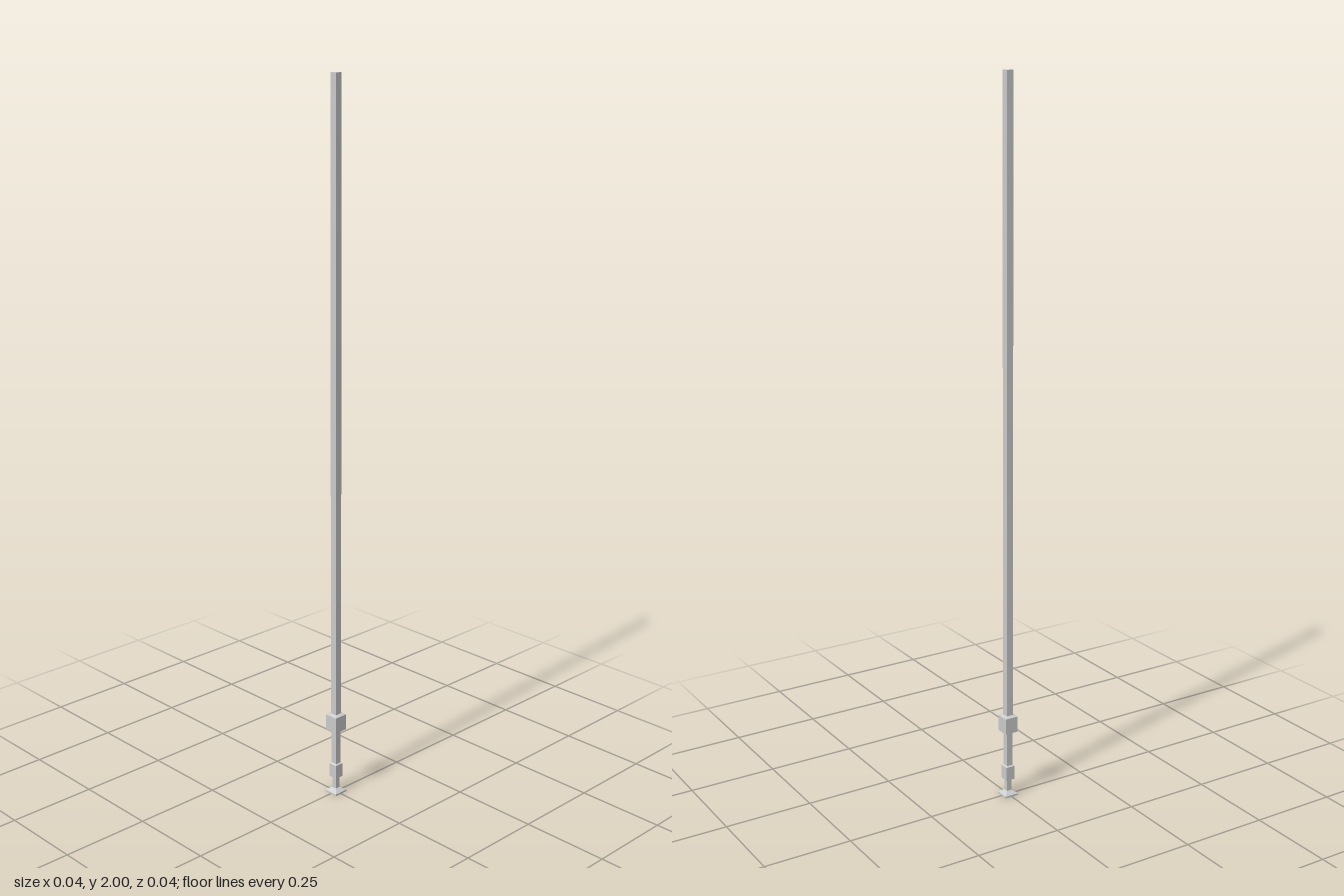
import * as THREE from 'three';

const material = new THREE.MeshStandardMaterial({ color: 0xcccccc, flatShading: true });

// Square frustum between two heights, given half-widths at bottom and top
function frustum(y0, y1, halfBottom, halfTop, open = false) {
  const g = new THREE.CylinderGeometry(halfTop * Math.SQRT2, halfBottom * Math.SQRT2, y1 - y0, 4, 1, open);
  g.rotateY(Math.PI / 4);
  g.translate(0, (y0 + y1) / 2, 0);
  return new THREE.Mesh(g, material);
}

// Square collar with sloping shoulders, closing in on the post above and below
function collar(name, y0, y1, half, postBelow, postAbove, bevel) {
  const group = new THREE.Group();
  group.name = name;
  group.add(
    frustum(y0, y0 + bevel, postBelow, half, true),
    frustum(y0 + bevel, y1 - bevel, half, half, true),
    frustum(y1 - bevel, y1, half, postAbove, true),
  );
  return group;
}

export function createModel() {
  const model = new THREE.Group();
  model.name = 'post';
  const add = (name, mesh) => { mesh.name = name; model.add(mesh); };

  // Flared foot
  add('footPlate', frustum(0, 0.005, 0.021, 0.021));
  add('footFlare', frustum(0.005, 0.014, 0.021, 0.008));

  // Stacked square shafts
  add('neck', frustum(0.012, 0.06, 0.0075, 0.0075));
  add('lowerShaft', frustum(0.08, 0.2, 0.009, 0.009));
  add('mainShaft', frustum(0.22, 2, 0.01, 0.01));

  // Collars at the joints
  model.add(collar('lowerCollar', 0.046, 0.092, 0.0135, 0.0075, 0.009, 0.003));
  model.add(collar('upperCollar', 0.191, 0.245, 0.0195, 0.009, 0.01, 0.004));
  return model;
}
